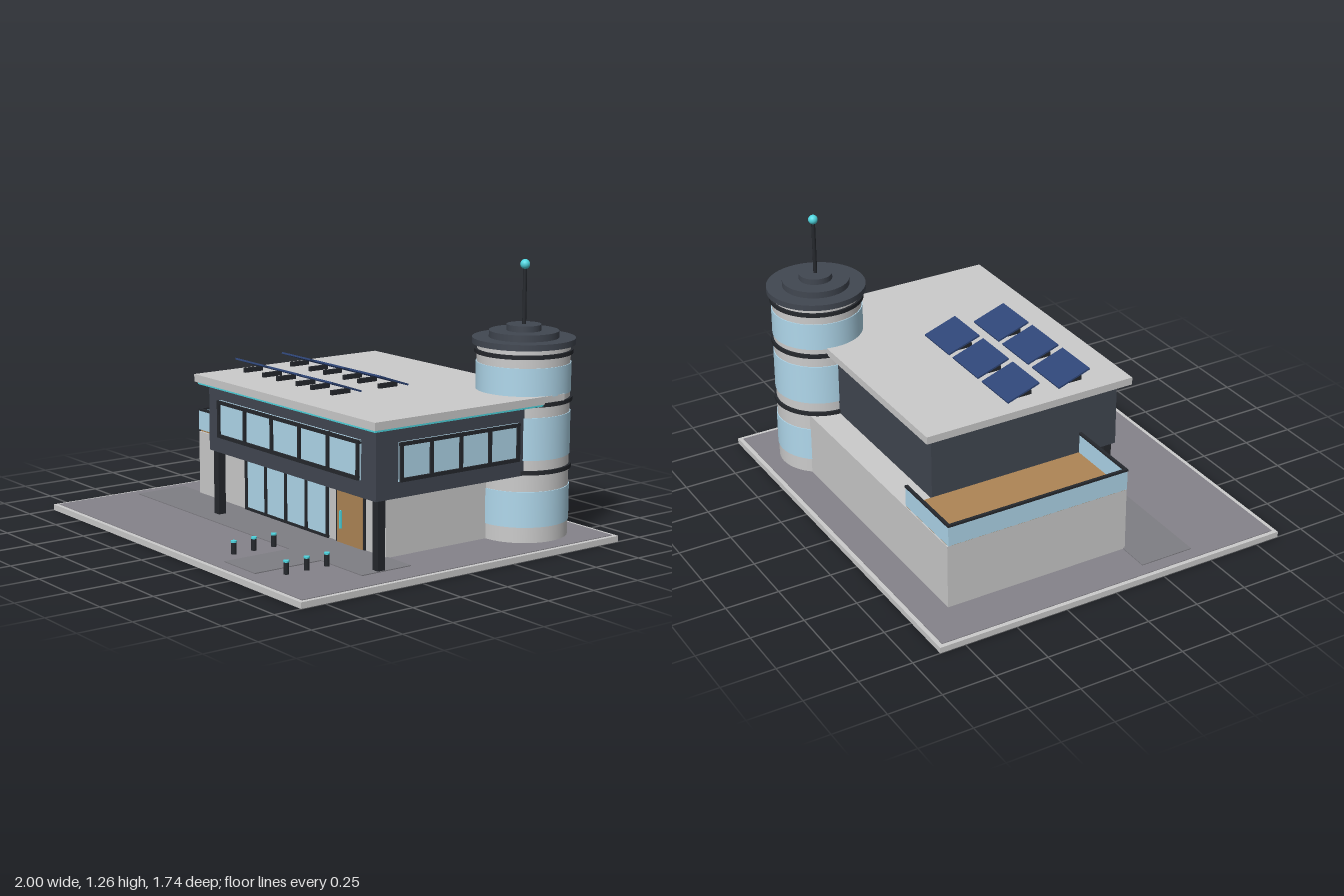
import * as THREE from 'three';

const mat = (color) => new THREE.MeshStandardMaterial({ color });

export function createModel() {
  const model = new THREE.Group();
  model.name = 'building';
  const M = {
    concrete: mat(0xcccccc), ground: mat(0x85838a), paving: mat(0x7f7e84),
    wall: mat(0x414751), trim: mat(0x25282d), glass: mat(0xb0d8ec),
    wood: mat(0xae8555), light: mat(0x4fd6e0), solar: mat(0x2f4678),
  };

  const add = (name, geo, m, parent = model) => {
    const mesh = new THREE.Mesh(geo, m);
    mesh.name = name;
    parent.add(mesh);
    return mesh;
  };
  // Box given by its min and max on each axis
  const box = (name, m, x0, x1, y0, y1, z0, z1, parent) => {
    const b = add(name, new THREE.BoxGeometry(x1 - x0, y1 - y0, z1 - z0), m, parent);
    b.position.set((x0 + x1) / 2, (y0 + y1) / 2, (z0 + z1) / 2);
    return b;
  };
  const drum = (name, m, r, y0, y1, x, z, seg = 48, parent) => {
    const c = add(name, new THREE.CylinderGeometry(r, r, y1 - y0, seg), m, parent);
    c.position.set(x, (y0 + y1) / 2, z);
    return c;
  };
  const group = (name) => {
    const g = new THREE.Group();
    g.name = name;
    model.add(g);
    return g;
  };

  // Site
  box('base', M.concrete, -1, 1, 0, 0.027, -0.87, 0.87);
  box('groundSurface', M.ground, -0.98, 0.98, 0.027, 0.03, -0.85, 0.85);
  box('terracePaving', M.paving, -0.92, 0.85, 0.03, 0.034, 0.19, 0.45);
  box('entrancePath', M.paving, 0.33, 0.56, 0.03, 0.034, 0.45, 0.79);

  // Main volumes
  box('groundFloor', M.concrete, -0.765, 0.69, 0.03, 0.335, -0.7, 0.2);
  box('upperFloor', M.wall, -0.4, 0.85, 0.335, 0.648, -0.57, 0.38);
  box('roofSlab', M.concrete, -0.455, 0.9, 0.65, 0.685, -0.62, 0.425);
  box('roofLightFront', M.light, -0.43, 0.89, 0.642, 0.65, 0.412, 0.422);
  box('roofLightRight', M.light, 0.888, 0.898, 0.642, 0.65, -0.58, 0.422);
  box('soffitLight', M.light, -0.3, 0.75, 0.329, 0.335, 0.26, 0.285);
  for (const x of [-0.37, 0.828])
    box('column', M.trim, x - 0.019, x + 0.019, 0.03, 0.335, 0.327, 0.365);

  // Framed window band facing +z, centred on x = 0, with its back at z = 0
  const windowBand = (name, width, y0, y1, bays, depth) => {
    const g = group(name), h = width / 2, t = 0.008;
    box('glass', M.glass, -h, h, y0, y1, 0, depth * 0.5, g);
    box('frameBottom', M.trim, -h, h, y0, y0 + 2 * t, 0, depth, g);
    box('frameTop', M.trim, -h, h, y1 - 2 * t, y1, 0, depth, g);
    for (let i = 0; i <= bays; i++) {
      const x = -h + t + (i * (width - 2 * t)) / bays;
      box('mullion', M.trim, x - t, x + t, y0, y1, 0, depth, g);
    }
    return g;
  };
  windowBand('upperFrontWindow', 1.06, 0.41, 0.582, 5, 0.02).position.set(0.22, 0, 0.379);
  const side = windowBand('upperRightWindow', 0.66, 0.405, 0.575, 4, 0.018);
  side.position.set(0.849, 0, -0.068);
  side.rotation.y = Math.PI / 2;
  windowBand('groundFrontWindow', 0.65, 0.03, 0.333, 4, 0.012).position.set(-0.04, 0, 0.199);

  // Entrance
  const door = group('entrance');
  box('doorFrame', M.trim, 0.34, 0.55, 0.03, 0.285, 0.198, 0.207, door);
  box('doorLeaf', M.wood, 0.352, 0.538, 0.034, 0.274, 0.2, 0.21, door);
  box('doorHandle', M.light, 0.379, 0.389, 0.1, 0.18, 0.21, 0.219, door);

  // Balcony with glass railing on three sides
  const balcony = group('balcony');
  box('deck', M.wood, -0.765, -0.4, 0.335, 0.343, -0.695, 0.19, balcony);
  const rail = (x0, x1, z0, z1) => {
    box('railGlass', M.glass, x0 + 0.002, x1 - 0.002, 0.343, 0.437, z0 + 0.002, z1 - 0.002, balcony);
    box('handrail', M.trim, x0, x1, 0.435, 0.445, z0, z1, balcony);
  };
  rail(-0.777, -0.763, -0.702, 0.197);
  rail(-0.777, -0.4, -0.702, -0.688);
  rail(-0.777, -0.4, 0.183, 0.197);

  // Round tower
  const tower = group('tower'), tx = 0.69, tz = -0.565;
  const ring = (name, m, r, y0, y1, seg) => drum(name, m, r, y0, y1, tx, tz, seg, tower);
  ring('towerWall', M.concrete, 0.207, 0.03, 0.89);
  for (const [a, b] of [[0.1, 0.26], [0.4, 0.59], [0.68, 0.808]])
    ring('towerGlass', M.glass, 0.211, a, b);
  for (const y of [0.346, 0.647, 0.857]) ring('towerBand', M.trim, 0.218, y - 0.009, y + 0.009);
  ring('towerRoof', M.wall, 0.229, 0.888, 0.915);
  ring('towerRoofStep', M.wall, 0.155, 0.915, 0.945);
  ring('towerRoofCap', M.wall, 0.077, 0.945, 0.972);
  ring('mast', M.trim, 0.009, 0.97, 1.23, 12);
  add('beacon', new THREE.SphereGeometry(0.022, 20, 14), M.light, tower).position.set(tx, 1.237, tz);

  // Solar panels, tilted up toward the front
  const solar = group('solarArray');
  for (const z of [-0.098, 0.163])
    for (const x of [-0.273, -0.012, 0.248]) {
      const panel = add('solarPanel', new THREE.BoxGeometry(0.225, 0.008, 0.17), M.solar, solar);
      panel.position.set(x, 0.72, z);
      panel.rotation.x = -0.33;
      for (const s of [-1, 1]) {
        const lx = x + s * 0.075;
        box('panelFoot', M.trim, lx - 0.007, lx + 0.007, 0.685, 0.706, z - 0.043, z + 0.057, solar);
      }
    }

  // Path bollards
  const bollards = group('bollards');
  for (const x of [0.247, 0.638])
    for (const z of [0.475, 0.58, 0.685]) {
      drum('bollardPost', M.trim, 0.012, 0.03, 0.082, x, z, 12, bollards);
      drum('bollardLight', M.light, 0.013, 0.082, 0.09, x, z, 12, bollards);
    }
  return model;
}
